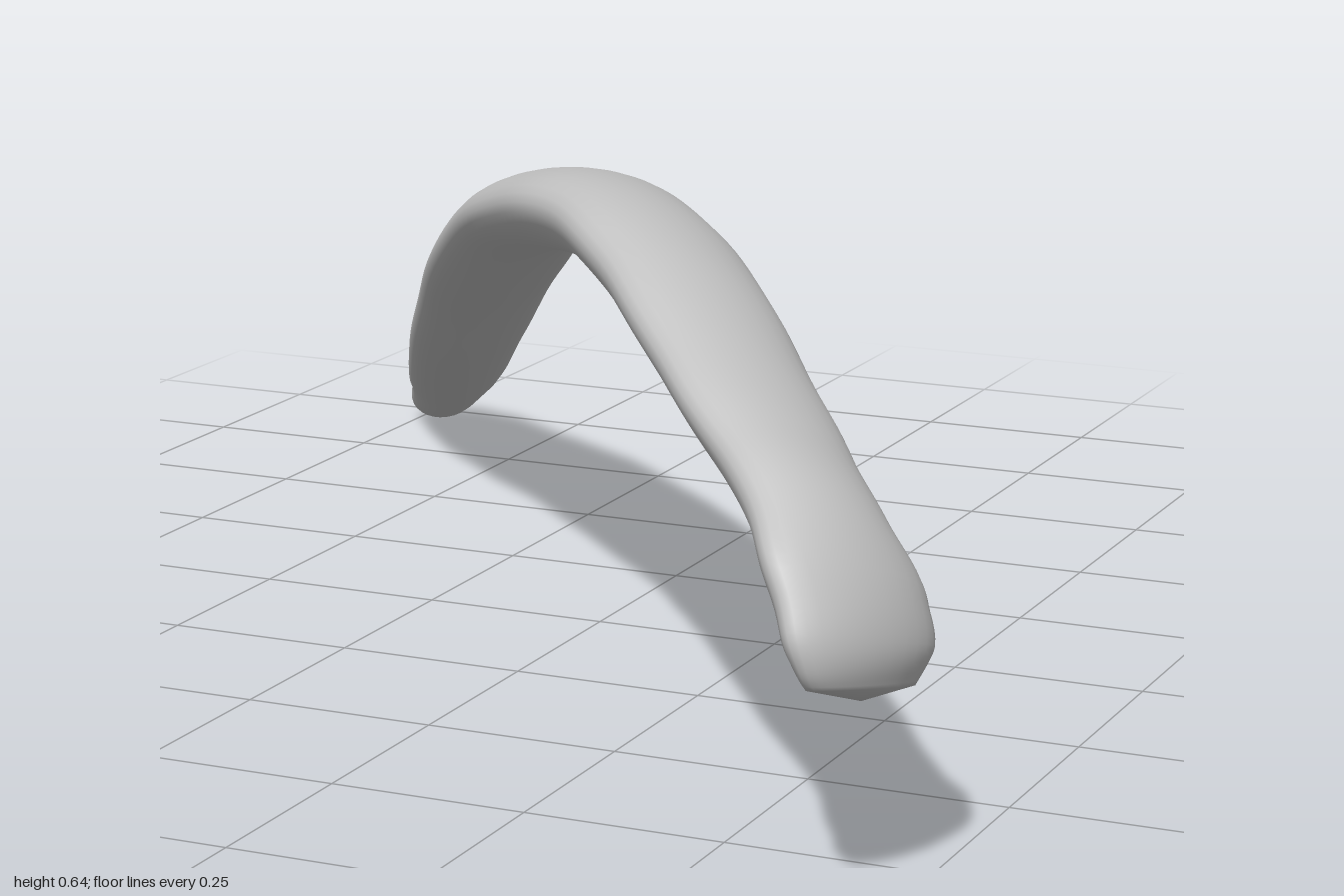
import * as THREE from 'three';

// Stations along the bone: distance s, sideways w, height y,
// half width a, half thickness b, twist in degrees
const STATIONS = [
  [-1.225, 0.000, 0.028, 0.030, 0.022, 5],
  [-1.190, 0.000, 0.045, 0.050, 0.036, 5],
  [-1.090, 0.001, 0.100, 0.070, 0.044, 6],
  [-0.870, -0.017, 0.215, 0.092, 0.046, 9],
  [-0.600, -0.030, 0.362, 0.105, 0.048, 10],
  [-0.300, -0.038, 0.498, 0.110, 0.050, 6],
  [0.000, -0.027, 0.565, 0.115, 0.055, -5],
  [0.270, -0.015, 0.586, 0.116, 0.055, -17],
  [0.500, -0.006, 0.562, 0.110, 0.052, -21],
  [0.720, 0.000, 0.508, 0.108, 0.048, -23],
  [0.900, 0.010, 0.455, 0.100, 0.046, -26],
  [1.020, 0.022, 0.410, 0.104, 0.048, -32],
  [1.095, 0.036, 0.350, 0.125, 0.046, -37],
  [1.128, 0.042, 0.295, 0.122, 0.040, -38],
  [1.138, 0.040, 0.255, 0.090, 0.026, -38],
];
const RINGS = 110;
const SIDES = 28;

// Horizontal direction of the bone and its sideways direction
const ALONG = new THREE.Vector3(0.6, 0, 0.8);
const SIDE = new THREE.Vector3(0.8, 0, -0.6);
const UP = new THREE.Vector3(0, 1, 0);

function boneGeometry() {
  const path = new THREE.CatmullRomCurve3(STATIONS.map(([s, w, y]) =>
    new THREE.Vector3().addScaledVector(ALONG, s).addScaledVector(SIDE, w).addScaledVector(UP, y)));
  const size = new THREE.CatmullRomCurve3(STATIONS.map(([, , , a, b, t]) =>
    new THREE.Vector3(a, b, THREE.MathUtils.degToRad(t))), false, 'catmullrom', 0.5);
  const positions = [];
  const index = [];

  for (let i = 0; i <= RINGS; i++) {
    const t = i / RINGS;
    const c = path.getPoint(t);
    const { x: a, y: b, z: twist } = size.getPoint(t);
    // Section frame: level sideways axis and upper normal, turned by the twist
    const tangent = path.getTangent(t);
    const u = SIDE.clone().addScaledVector(tangent, -SIDE.dot(tangent)).normalize();
    const v = new THREE.Vector3().crossVectors(u, tangent).normalize();
    if (v.dot(UP) < 0) v.negate();
    const across = u.clone().multiplyScalar(Math.cos(twist)).addScaledVector(v, Math.sin(twist));
    const out = v.clone().multiplyScalar(Math.cos(twist)).addScaledVector(u, -Math.sin(twist));
    // Slight surface unevenness
    const wobble = 1 + 0.018 * Math.sin(t * 47) + 0.012 * Math.sin(t * 83 + 1);
    for (let j = 0; j < SIDES; j++) {
      const p = (j / SIDES) * Math.PI * 2;
      const q = c.clone()
        .addScaledVector(across, a * wobble * Math.cos(p))
        .addScaledVector(out, b * Math.sin(p));
      positions.push(q.x, q.y, q.z);
    }
  }
  for (let i = 0; i < RINGS; i++) {
    for (let j = 0; j < SIDES; j++) {
      const k = (j + 1) % SIDES;
      const p = i * SIDES + j, q = i * SIDES + k;
      index.push(p, q, p + SIDES, q, q + SIDES, p + SIDES);
    }
  }
  // Rounded tips
  [[0, -0.012], [1, 0.014]].forEach(([t, reach]) => {
    const tip = path.getPoint(t).addScaledVector(path.getTangent(t), reach);
    const pole = positions.length / 3;
    positions.push(tip.x, tip.y, tip.z);
    const base = t * RINGS * SIDES;
    for (let j = 0; j < SIDES; j++) {
      const p = base + j, q = base + (j + 1) % SIDES;
      if (t === 0) index.push(pole, q, p);
      else index.push(pole, p, q);
    }
  });

  const g = new THREE.BufferGeometry();
  g.setAttribute('position', new THREE.Float32BufferAttribute(positions, 3));
  g.setIndex(index);
  g.computeVertexNormals();
  return g;
}

export function createModel() {
  const group = new THREE.Group();
  group.name = 'ribBone';
  const bone = new THREE.MeshStandardMaterial({ color: 0xc4c4c4 });
  bone.name = 'paleGrey';
  const shaft = new THREE.Mesh(boneGeometry(), bone);
  shaft.name = 'ribShaft';
  group.add(shaft);
  return group;
}
